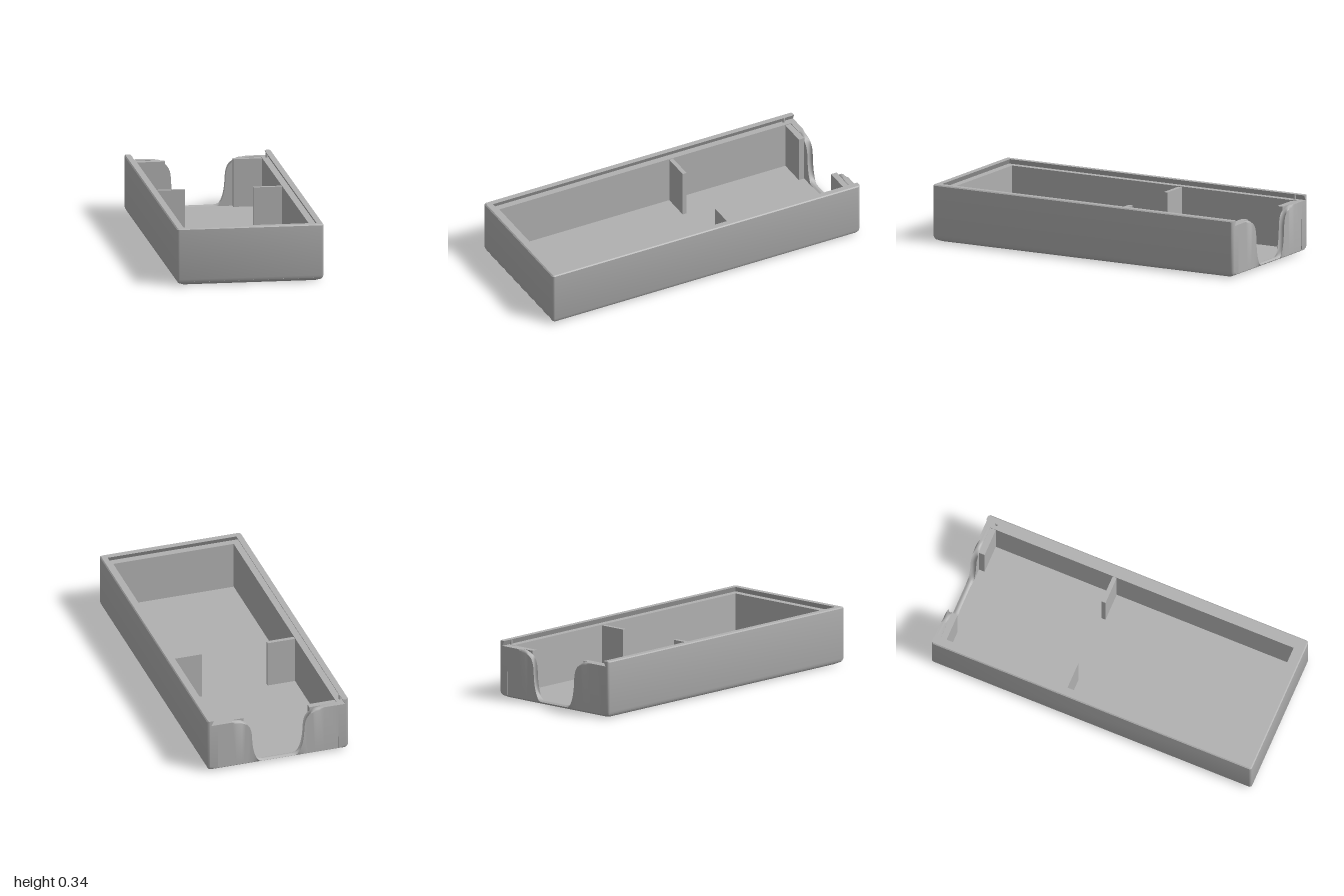
import * as THREE from 'three';
import { toCreasedNormals } from 'three/addons/utils/BufferGeometryUtils.js';

const W = 0.428;       // half width
const L = 1;           // half length
const FLOOR = 0.02;    // height of the inner floor
const LEDGE = 0.305;   // ledge the lid slides on
const TOP = 0.335;

const plastic = new THREE.MeshStandardMaterial({ color: 0xb0b0b0 });
plastic.name = 'grey plastic';
plastic.side = THREE.DoubleSide;

// Skin a grid of points (rows of equal length); extra holds index triples
function skin(rows, extra = []) {
  const n = rows[0].length;
  const index = [...extra];
  for (let r = 0; r < rows.length - 1; r++) {
    for (let i = 0; i < n - 1; i++) {
      const a = r * n + i;
      index.push(a, a + 1, a + n, a + 1, a + n + 1, a + n);
    }
  }
  const g = new THREE.BufferGeometry();
  g.setAttribute('position', new THREE.Float32BufferAttribute(rows.flat(2), 3));
  g.setIndex(index);
  // Enlarged while creasing so close vertices stay distinct
  g.scale(100, 100, 100);
  const out = toCreasedNormals(g, 0.6);
  out.scale(0.01, 0.01, 0.01);
  return out;
}

// Rounded rectangle inset by d at height y
function rectRing(d, y, r = 0.015) {
  const pts = [];
  [[1, 1, 0], [-1, 1, 1], [-1, -1, 2], [1, -1, 3]].forEach(([sx, sz, q]) => {
    for (let k = 0; k <= 4; k++) {
      const a = (q + k / 4) * Math.PI / 2;
      pts.push([sx * (W - d - r) + r * Math.cos(a), y, sz * (L - d - r) + r * Math.sin(a)]);
    }
  });
  pts.push([...pts[0]]);
  return pts;
}

// Bottom slab with softened lower edge
function baseGeometry() {
  const centre = y => rectRing(0, 0).map(() => [0, y, 0]);
  return skin([
    centre(0), rectRing(0.036, 0), rectRing(0.01, 0.012),
    rectRing(0.006, FLOOR), centre(FLOOR),
  ]);
}

// Side and front walls: one section with an undercut lid groove, swept in a U
function wallGeometry() {
  // inset from outside, height, inset at the back end
  const section = [
    [0.006, FLOOR, 0.006], [0, 0.036, 0], [0, 0.329, 0], [0.006, TOP, 0],
    [0.038, TOP, 0], [0.024, LEDGE, 0], [0.063, LEDGE, 0], [0.063, FLOOR, 0],
  ];
  const path = ([d, y, b]) => {
    const m = Math.max(0.015 - d, 0);
    const half = [];
    for (let k = 0; k <= 4; k++) {             // back corner
      const a = k / 4 * Math.PI / 2;
      half.push([W - d - m * (1 - Math.sin(a)), y, -L + b + m * (1 - Math.cos(a))]);
    }
    for (let k = 0; k <= 4; k++) {             // front corner
      const a = k / 4 * Math.PI / 2;
      half.push([W - d - m * (1 - Math.cos(a)), y, L - d * 1.1 - m * (1 - Math.sin(a))]);
    }
    return [...half, ...half.map(([x, h, z]) => [-x, h, z]).reverse()];
  };
  const rows = [...section, section[0]].map(path);
  const n = rows[0].length;
  const flat = section.map(([d, y]) => new THREE.Vector2(d, y));
  const caps = [];
  THREE.ShapeUtils.triangulateShape(flat, []).forEach(([a, b, c]) => {
    caps.push(a * n, b * n, c * n);
    caps.push(a * n + n - 1, c * n + n - 1, b * n + n - 1);
  });
  return skin(rows, caps);
}

// Back wall with a deep S-curved cutout and a rounded lip
function backWallGeometry() {
  const v = (x, y) => new THREE.Vector2(x, y);
  const upper = new THREE.CubicBezierCurve(v(0.25, LEDGE), v(0.195, LEDGE), v(0.178, 0.25), v(0.175, 0.19));
  const lower = new THREE.CubicBezierCurve(v(0.175, 0.19), v(0.171, 0.09), v(0.155, 0.027), v(0.08, 0.027));
  const half = [v(0.39, LEDGE), v(0.28, LEDGE), ...upper.getPoints(12), ...lower.getPoints(12).slice(1)];
  const curve = [...half, ...half.map(p => v(-p.x, p.y)).reverse()];
  const lip = (z, s) => curve.map((p, i) => {
    const a = curve[Math.max(i - 1, 0)], b = curve[Math.min(i + 1, curve.length - 1)];
    const t = b.clone().sub(a).normalize();
    const k = Math.abs(p.x) > 0.27 ? 0 : s;
    return [p.x - t.y * k * -1, Math.max(p.y + t.x * k, 0.019), z];
  });
  const foot = z => curve.map(p => [p.x, 0.016, z]);
  return skin([
    foot(-0.994), lip(-1, 0.016), lip(-0.996, 0.007), lip(-0.99, 0.002), lip(-0.9825, 0),
    lip(-0.975, 0.002), lip(-0.969, 0.007), lip(-0.965, 0.016), foot(-0.965),
  ]);
}

export function createModel() {
  const group = new THREE.Group();
  const add = (geometry, name, x = 0, y = 0, z = 0) => {
    const mesh = new THREE.Mesh(geometry, plastic);
    mesh.name = name;
    mesh.position.set(x, y, z);
    group.add(mesh);
    return mesh;
  };

  add(baseGeometry(), 'base');
  add(wallGeometry(), 'grooved walls');
  add(backWallGeometry(), 'back wall');

  // Divider stubs and lid catches on both sides
  for (const [side, s] of [['left', 1], ['right', -1]]) {
    const h = LEDGE - 0.004 - FLOOR;
    add(new THREE.BoxGeometry(0.17, h, 0.025), side + ' middle divider', s * 0.284, FLOOR + h / 2, -0.187);
    add(new THREE.BoxGeometry(0.17, h, 0.036), side + ' back divider', s * 0.284, FLOOR + h / 2, -0.948);
    add(new THREE.CylinderGeometry(0.007, 0.007, 0.03, 12), side + ' lid catch', s * 0.394, LEDGE + 0.014, -0.935);
  }
  return group;
}
